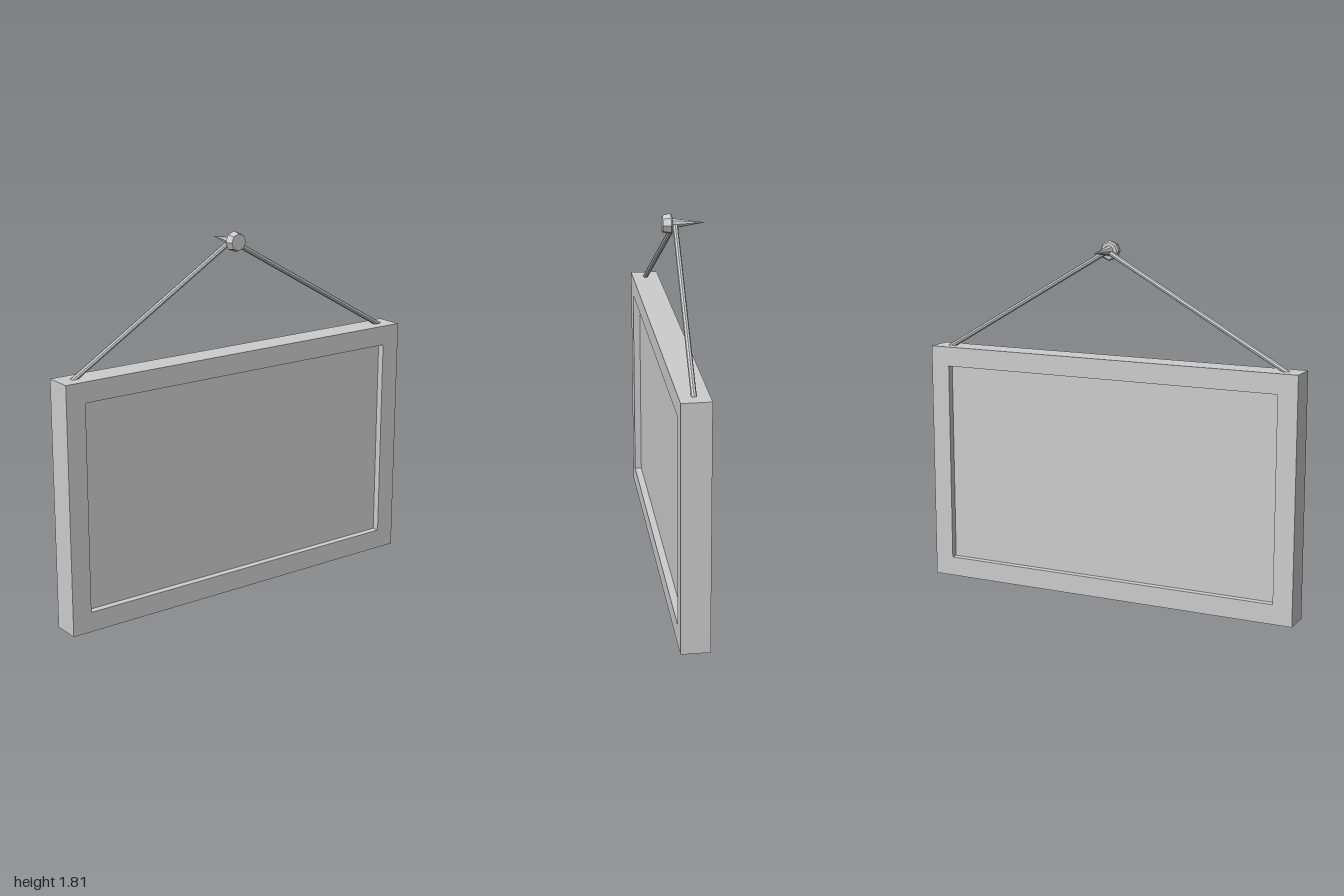
import * as THREE from 'three';

export function createModel() {
  const model = new THREE.Group();
  model.name = 'hangingSign';
  const grey = new THREE.MeshStandardMaterial({ color: 0xcccccc, flatShading: true });
  grey.name = 'plainGrey';

  const add = (name, geometry) => {
    const mesh = new THREE.Mesh(geometry, grey);
    mesh.name = name;
    model.add(mesh);
    return mesh;
  };

  // Rectangular frame, open in the middle, extruded through its thickness along x
  const outline = new THREE.Shape([[-1, 0], [1, 0], [1, 1.23], [-1, 1.23]].map(p => new THREE.Vector2(...p)));
  outline.holes.push(new THREE.Path([[-0.9, 0.1], [-0.9, 1.13], [0.9, 1.13], [0.9, 0.1]].map(p => new THREE.Vector2(...p))));
  const frame = new THREE.ExtrudeGeometry(outline, { depth: 0.14, bevelEnabled: false });
  frame.rotateY(Math.PI / 2);
  add('frame', frame).position.x = -0.015;

  // Board set back from both faces of the frame
  add('board', new THREE.BoxGeometry(0.07, 1.03, 1.8)).position.set(0.055, 0.615, 0);

  // Nail: pointed shank and chamfered octagonal head, turned about the x axis
  const profile = [[0, -0.13], [0.025, 0.03], [0.042, 0.03], [0.05, 0.038], [0.042, 0.077], [0, 0.077]];
  const nail = new THREE.LatheGeometry(profile.map(p => new THREE.Vector2(...p)), 8);
  nail.rotateZ(-Math.PI / 2);
  add('nail', nail).position.y = 1.76;

  // Two cords from the nail down into the top of the frame
  const up = new THREE.Vector3(0, 1, 0);
  for (const side of [1, -1]) {
    const top = new THREE.Vector3(0.015, 1.76, 0);
    const foot = new THREE.Vector3(0.056, 1.222, side * 0.928);
    const along = foot.clone().sub(top);
    const cord = add(side > 0 ? 'frontCord' : 'backCord', new THREE.CylinderGeometry(0.013, 0.013, along.length(), 8));
    cord.position.copy(top).add(foot).multiplyScalar(0.5);
    cord.quaternion.setFromUnitVectors(up, along.normalize());
  }
  return model;
}
